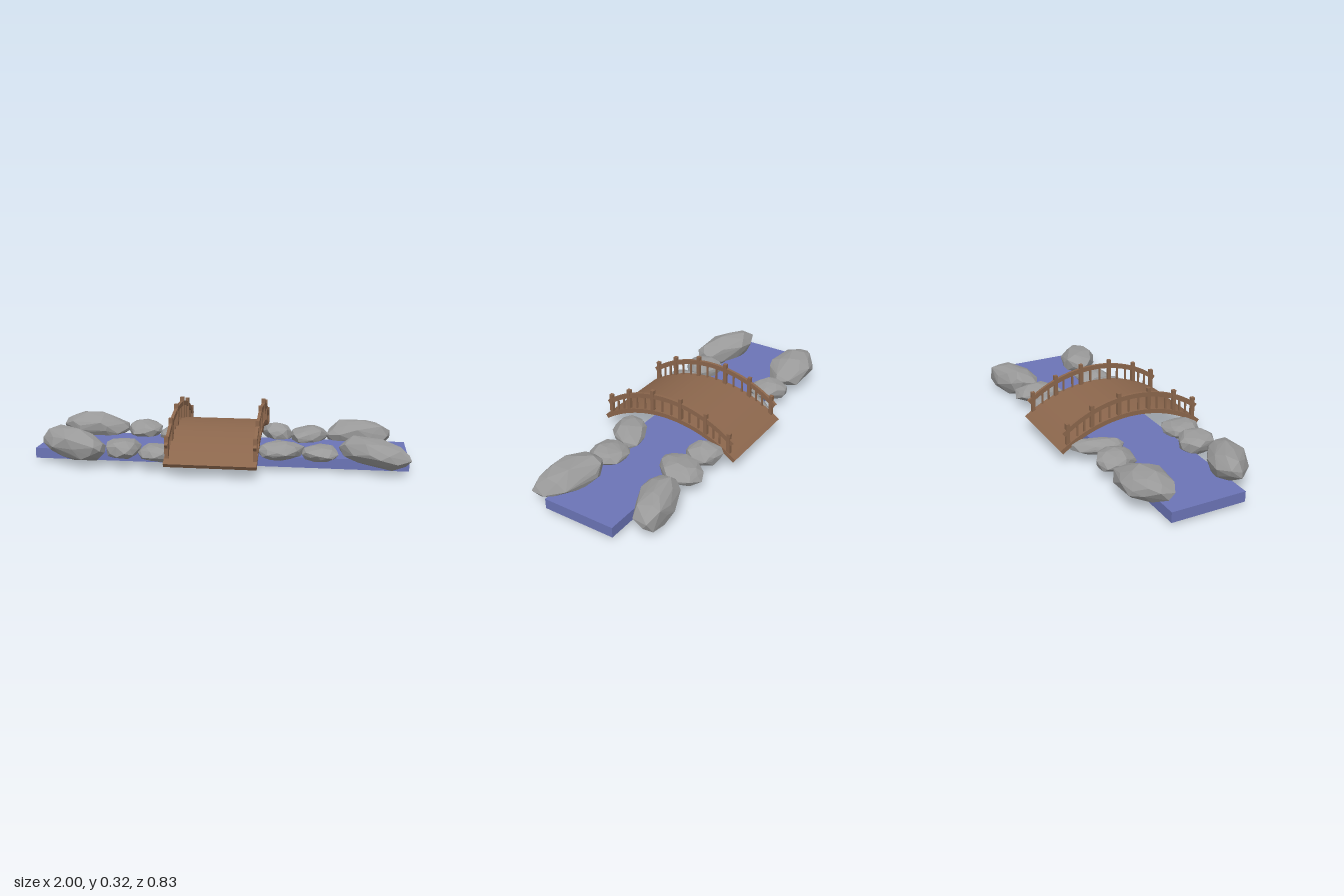
import * as THREE from 'three';
import { ConvexGeometry } from 'three/addons/geometries/ConvexGeometry.js';

const wood = new THREE.MeshStandardMaterial({ name: 'brown wood', color: 0x8b664c });
const stone = new THREE.MeshStandardMaterial({ name: 'grey stone', color: 0x999999 });
const water = new THREE.MeshStandardMaterial({ name: 'blue water', color: 0x6b74b6 });

function seeded(seed) {
  let s = seed * 7919 + 17;
  return () => (s = (s * 16807) % 2147483647) / 2147483647;
}

function addMesh(parent, name, geometry, material) {
  const mesh = new THREE.Mesh(geometry, material);
  mesh.name = name;
  parent.add(mesh);
  return mesh;
}

// Arcs in the zy plane: peak height, half span, rise at the ends
function arc(peak, half, rise) {
  const radius = (half * half) / (2 * rise) + rise / 2;
  return {
    radius, cy: peak - radius, angle: Math.asin(half / radius),
    heightAt: (z) => peak - radius + Math.sqrt(radius * radius - z * z),
  };
}
const deckArc = arc(0.207, 0.415, 0.135);
const railArc = arc(0.303, 0.4, 0.137);

// Curved board following an arc, extruded from x0 to x1
function curvedBoard({ radius, cy, angle }, thickness, x0, x1) {
  const shape = new THREE.Shape();
  const a = Math.PI / 2 - angle, b = Math.PI / 2 + angle;
  shape.absarc(0, cy, radius, a, b, false);
  shape.absarc(0, cy, radius - thickness, b, a, true);
  const geo = new THREE.ExtrudeGeometry(shape, { depth: x1 - x0, bevelEnabled: false, curveSegments: 14 });
  geo.rotateY(-Math.PI / 2);
  geo.translate(x1, 0, 0);
  return geo;
}

// Faceted boulder: hull of jittered sphere points, slanted and fitted to a box
function rockGeometry(seed, [x0, x1, y0, y1, z0, z1], slantZ, slantY) {
  const rand = seeded(seed);
  const points = [];
  const count = 46;
  for (let i = 0; i < count; i++) {
    const h = 1 - (2 * (i + 0.5)) / count;
    const r = Math.sqrt(1 - h * h);
    const t = i * 2.39996 + rand() * 0.5;
    const k = 0.88 + rand() * 0.2;
    const x = r * Math.cos(t) * k;
    points.push(new THREE.Vector3(x, h * k + slantY * x, r * Math.sin(t) * k + slantZ * x));
  }
  const box = new THREE.Box3().setFromPoints(points);
  const size = box.getSize(new THREE.Vector3());
  for (const p of points) {
    p.sub(box.min).divide(size);
    p.set(x0 + p.x * (x1 - x0), y0 + p.y * (y1 - y0), z0 + p.z * (z1 - z0));
  }
  return new ConvexGeometry(points);
}

// Handrail with thick posts and thin balusters
function railing(x) {
  const group = new THREE.Group();
  group.name = x > 0 ? 'leftRailing' : 'rightRailing';
  addMesh(group, 'handrail', curvedBoard(railArc, 0.025, x - 0.008, x + 0.008), wood);
  const upright = (name, z, width, top) => {
    const bottom = deckArc.heightAt(z) - 0.012;
    const geo = new THREE.BoxGeometry(width, top - bottom, width);
    addMesh(group, name, geo, wood).position.set(x, (top + bottom) / 2, z);
  };
  for (const z of [0.375, 0.255, 0.1, -0.075, -0.23, -0.368])
    upright('post', z, 0.02, railArc.heightAt(z) + 0.023);
  for (const z of [0.331, 0.293, 0.205, 0.152, 0.041, -0.017, -0.129, -0.183, -0.274, -0.312])
    upright('baluster', z, 0.009, railArc.heightAt(z) - 0.012);
  return group;
}

export function createModel() {
  const model = new THREE.Group();
  model.name = 'streamBridge';

  // Stream
  addMesh(model, 'stream', new THREE.BoxGeometry(1.99, 0.055, 0.4), water).position.set(-0.005, 0.042, -0.014);

  // Bridge
  const bridge = new THREE.Group();
  bridge.name = 'bridge';
  addMesh(bridge, 'deck', curvedBoard(deckArc, 0.024, -0.25, 0.225), wood);
  bridge.add(railing(-0.237), railing(0.214));
  model.add(bridge);

  // Bank rocks: [x0, x1, y0, y1, z0, z1], slant in z, slant in y
  const rocks = [
    [[-0.95, -0.58, 0.03, 0.19, -0.345, -0.115], -0.1, -0.2],
    [[-0.58, -0.38, 0.04, 0.15, -0.33, -0.12], 0.15, 0],
    [[-0.38, -0.21, 0.04, 0.13, -0.36, -0.1], -0.7, -0.1],
    [[0.2, 0.37, 0.04, 0.15, -0.355, -0.17], 0.1, -0.2],
    [[0.36, 0.575, 0.04, 0.14, -0.37, -0.105], -0.2, 0],
    [[0.56, 0.92, 0, 0.17, -0.385, -0.17], -0.35, -0.1],
    [[-0.95, -0.59, 0.03, 0.2, 0.11, 0.35], 0.55, -0.25],
    [[-0.6, -0.41, 0.04, 0.15, 0.13, 0.33], 0, 0],
    [[-0.41, -0.22, 0.04, 0.13, 0.155, 0.355], 0, -0.1],
    [[0.21, 0.45, 0.05, 0.15, 0.065, 0.275], -0.4, -0.2],
    [[0.44, 0.63, 0.045, 0.13, 0.055, 0.25], 0, 0],
    [[0.63, 0.995, 0.03, 0.18, 0.06, 0.3], 0.5, -0.3],
  ];
  const banks = new THREE.Group();
  banks.name = 'bankRocks';
  rocks.forEach(([box, sz, sy], i) => addMesh(banks, 'rock', rockGeometry(i + 1, box, sz, sy), stone));
  model.add(banks);

  return model;
}
